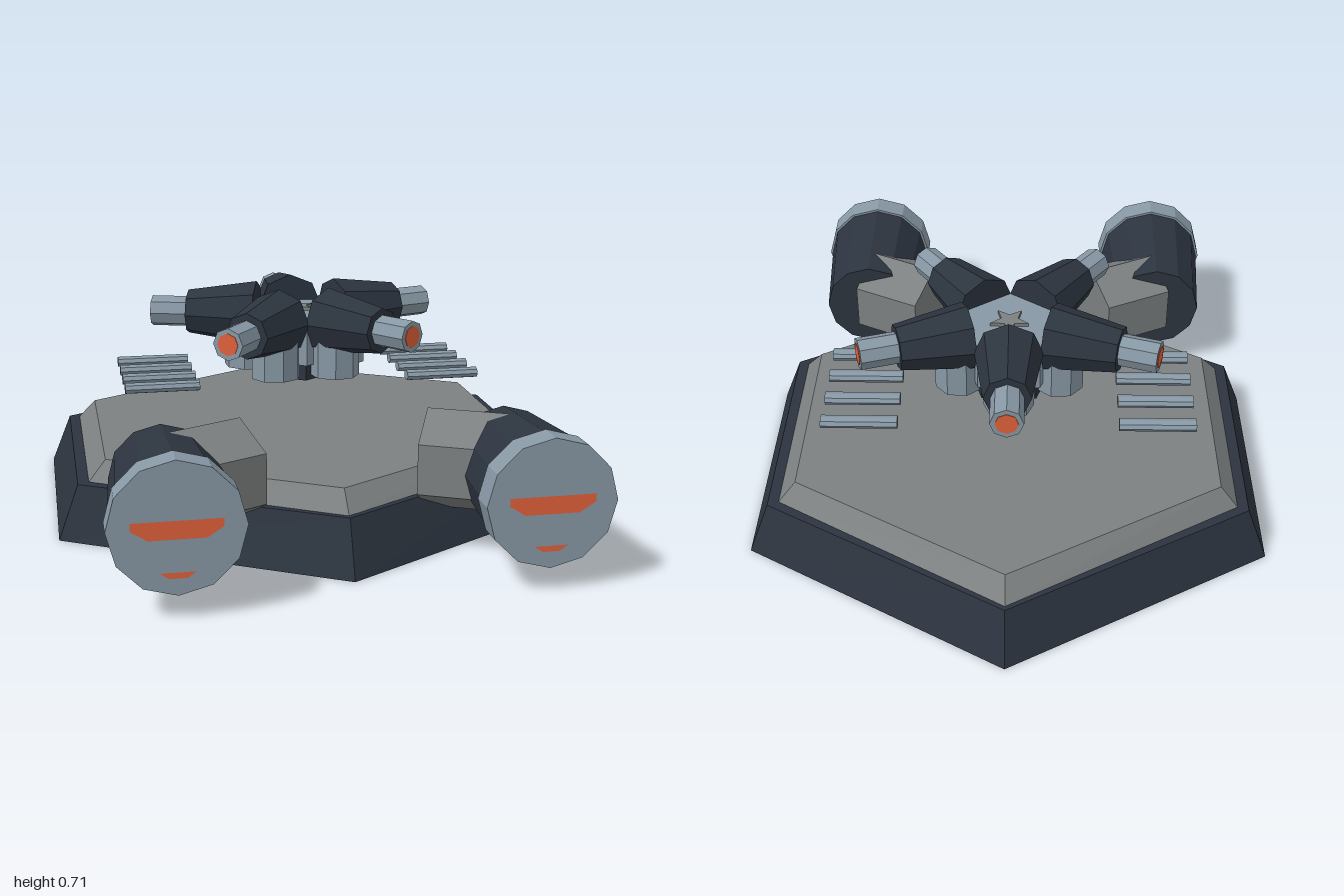
import * as THREE from 'three';

const paint = (color) => new THREE.MeshStandardMaterial({ color, flatShading: true });

export function createModel() {
  const model = new THREE.Group();
  const dark = paint(0x2c343f), steel = paint(0x8798a5);
  const grey = paint(0x7c8080), orange = paint(0xe0603a);

  const add = (parent, name, geometry, material, x = 0, y = 0, z = 0) => {
    const mesh = new THREE.Mesh(geometry, material);
    mesh.name = name;
    mesh.position.set(x, y, z);
    parent.add(mesh);
    return mesh;
  };

  // Cylinder lying along z, running from z0 to z1
  const barrel = (r0, r1, z0, z1, sides) =>
    new THREE.CylinderGeometry(r1, r0, Math.abs(z1 - z0), sides)
      .rotateX(z1 > z0 ? Math.PI / 2 : -Math.PI / 2)
      .translate(0, 0, (z0 + z1) / 2);

  // Sloped hexagonal slab; each outline is [half width, tip z, side corner z]
  const hexSlab = (bottom, top, height) => {
    const g = new THREE.CylinderGeometry(1, 1, height, 6).toNonIndexed();
    const p = g.attributes.position;
    for (let i = 0; i < p.count; i++) {
      const [w, tip, side] = p.getY(i) > 0 ? top : bottom;
      const x = p.getX(i), z = p.getZ(i);
      if (Math.hypot(x, z) < 0.1) continue;
      const corner = Math.abs(x) > 0.1;
      p.setXYZ(i, corner ? Math.sign(x) * w : 0, p.getY(i), Math.sign(z) * (corner ? side : tip));
    }
    g.computeVertexNormals();
    return g;
  };

  // Platform
  const cz = -0.085;
  add(model, 'base', hexSlab([0.835, 0.915, 0.42], [0.77, 0.84, 0.39], 0.17), dark, 0, 0.085, cz);
  add(model, 'deckPlate', hexSlab([0.735, 0.825, 0.375], [0.68, 0.757, 0.35], 0.063), grey, 0, 0.203, cz);

  // Rows of rods hovering at both sides of the deck
  for (const s of [-1, 1]) {
    for (let i = 0; i < 4; i++) {
      const rod = new THREE.CylinderGeometry(0.025, 0.025, 0.245, 8).rotateZ(Math.PI / 2);
      rod.scale(1, 0.72, 1);
      add(model, 'sideRod', rod, steel, s * 0.475, 0.4, -0.33 + i * 0.122);
    }
  }

  // Turret hub with five radial guns
  const turret = new THREE.Group();
  turret.name = 'turret';
  turret.position.set(0, 0.6, cz);
  model.add(turret);
  add(turret, 'hub', new THREE.CylinderGeometry(0.17, 0.17, 0.16, 5), steel, 0, -0.06, 0);
  add(turret, 'hubUnderside', new THREE.CylinderGeometry(0.15, 0.15, 0.06, 5), dark, 0, -0.165, 0);

  // Small star on the hub
  const star = new THREE.Shape();
  for (let i = 0; i < 10; i++) {
    const a = (i * Math.PI) / 5, r = i % 2 ? 0.028 : 0.065;
    star[i ? 'lineTo' : 'moveTo'](Math.sin(a) * r, Math.cos(a) * r);
  }
  const starGeo = new THREE.ExtrudeGeometry(star, { depth: 0.012, bevelEnabled: false }).rotateX(-Math.PI / 2);
  add(turret, 'hubStar', starGeo, grey, 0, 0.02, 0);

  for (let i = 0; i < 5; i++) {
    const arm = new THREE.Group();
    arm.name = 'gunArm';
    arm.rotation.y = (i * Math.PI * 2) / 5;
    turret.add(arm);
    add(arm, 'gunHousing', barrel(0.11, 0.075, -0.14, -0.375, 8), dark);
    add(arm, 'gunBarrel', barrel(0.052, 0.052, -0.36, -0.5, 8), steel);
    add(arm, 'muzzle', barrel(0.036, 0.036, -0.49, -0.502, 8), orange);
    add(arm, 'gunSupport', new THREE.CylinderGeometry(0.082, 0.082, 0.13, 8), steel, 0, -0.115, -0.17);
  }

  // Engines with hexagonal pylons
  const glow = (points) => {
    const shape = new THREE.Shape(points.map(([x, y]) => new THREE.Vector2(x, y)));
    return new THREE.ShapeGeometry(shape);
  };
  for (const s of [-1, 1]) {
    const engine = new THREE.Group();
    engine.name = s > 0 ? 'leftEngine' : 'rightEngine';
    engine.position.set(s * 0.528, 0.265, 0);
    model.add(engine);
    add(engine, 'engineBody', barrel(0.158, 0.185, 0.54, 0.915, 12), dark);
    add(engine, 'engineCap', barrel(0.193, 0.193, 0.912, 0.998, 12), steel);
    add(engine, 'glowSlit', glow([[-0.08, -0.03], [0.08, -0.03], [0.127, 0], [0.127, 0.023], [-0.127, 0.023], [-0.127, 0]]),
      orange, 0, 0, 1);
    add(engine, 'lowerGlowSlit', glow([[-0.025, -0.142], [0.025, -0.142], [0.05, -0.125], [-0.05, -0.125]]),
      orange, 0, 0, 1);

    const pylon = add(model, 'enginePylon', barrel(0.157, 0.157, 0, 0.25, 6), grey, s * 0.29, 0.27, 0.53);
    pylon.rotation.y = s * Math.atan2(0.89, 0.45);
  }

  return model;
}
